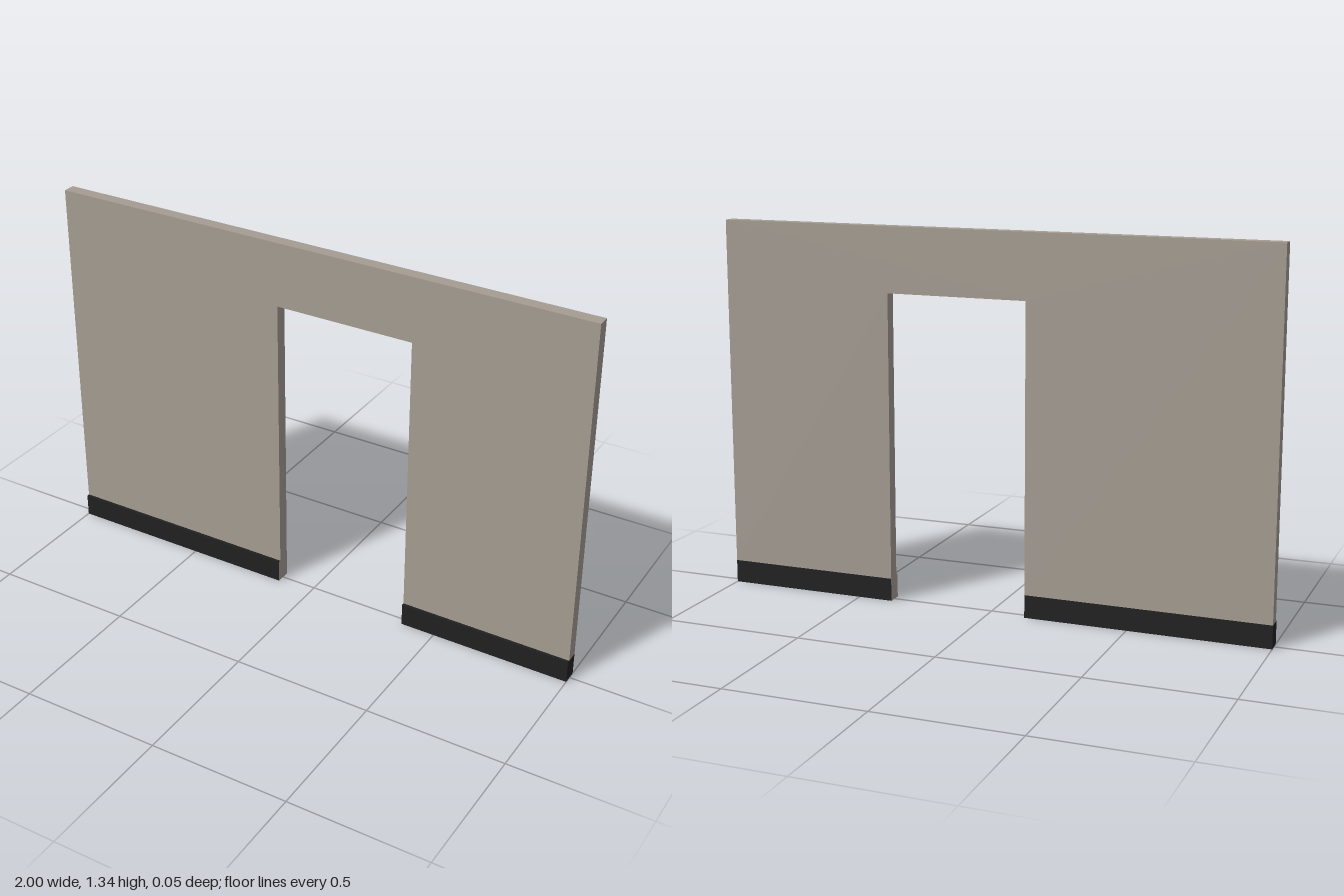
import * as THREE from 'three';

export function createModel() {
  const group = new THREE.Group();
  const plaster = new THREE.MeshStandardMaterial({ color: 0xa59d93 });
  plaster.name = 'plaster';
  const black = new THREE.MeshStandardMaterial({ color: 0x212122 });
  black.name = 'skirtingBlack';

  const back = -0.027, wallFront = 0.017, skirtFront = 0.027;
  const skirtTop = 0.082, wallTop = 1.335;
  const doorLeft = -0.132, doorRight = 0.374, doorTop = 1.105;

  // Wall panel with the doorway cut out, standing on the skirting
  const outline = new THREE.Shape([
    [-1, skirtTop], [doorLeft, skirtTop], [doorLeft, doorTop], [doorRight, doorTop],
    [doorRight, skirtTop], [1, skirtTop], [1, wallTop], [-1, wallTop],
  ].map(([x, y]) => new THREE.Vector2(x, y)));
  const wall = new THREE.Mesh(
    new THREE.ExtrudeGeometry(outline, { depth: wallFront - back, bevelEnabled: false }),
    plaster
  );
  wall.position.z = back;
  wall.name = 'wall';
  group.add(wall);

  // Black base on each side of the doorway; the face inside the doorway is plaster.
  // Box face order: +x, -x, +y, -y, +z, -z
  function addBase(name, x0, x1, doorFace) {
    const materials = Array(6).fill(black);
    materials[doorFace] = plaster;
    const base = new THREE.Mesh(
      new THREE.BoxGeometry(x1 - x0, skirtTop, skirtFront - back),
      materials
    );
    base.position.set((x0 + x1) / 2, skirtTop / 2, (skirtFront + back) / 2);
    base.name = name;
    group.add(base);
  }
  addBase('skirtingRight', -1, doorLeft, 0);
  addBase('skirtingLeft', doorRight, 1, 1);

  return group;
}
